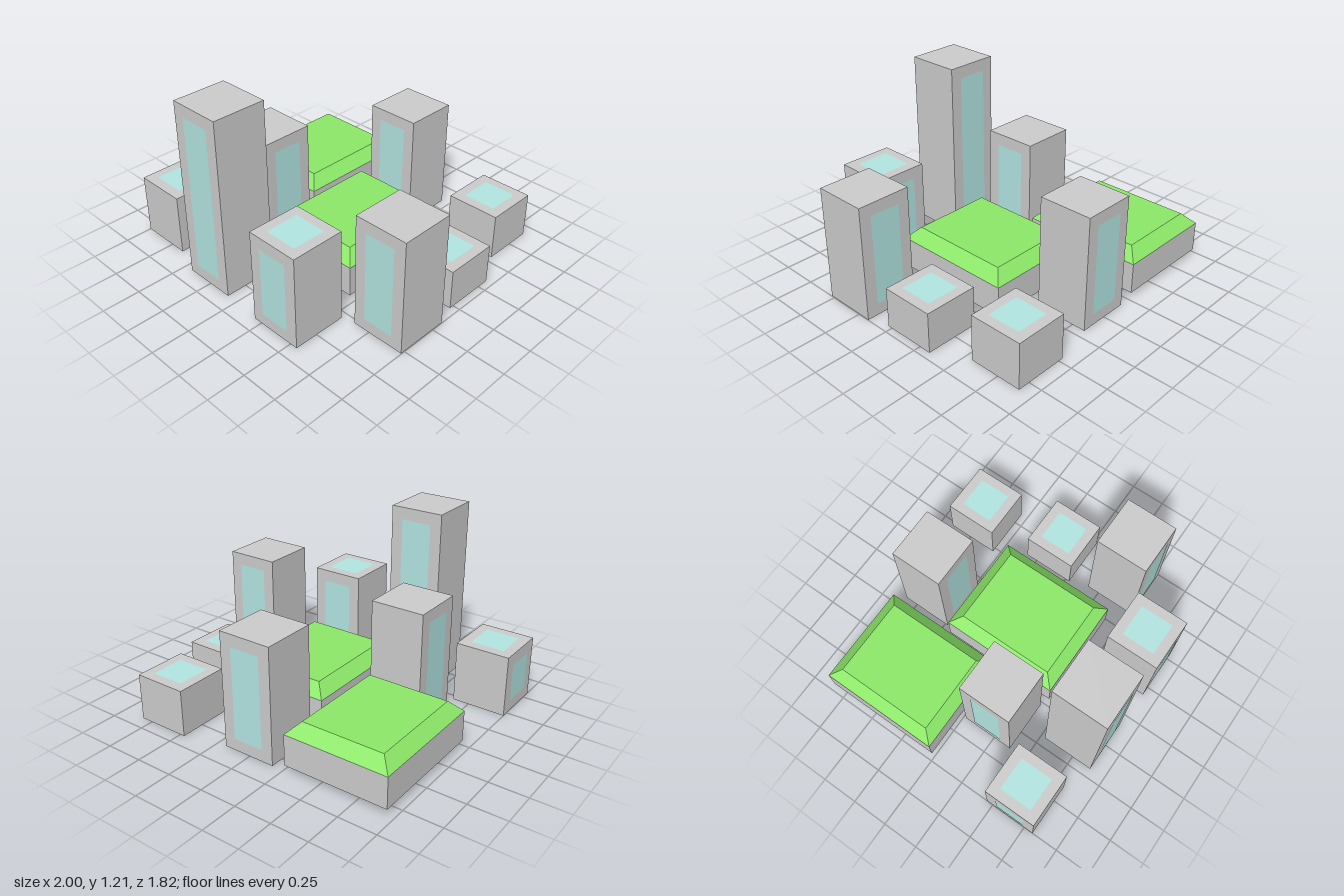
import * as THREE from 'three';

const W = 0.36; // footprint of every tower
const LIFT = 0.002; // glass sits just proud of the wall

// x, z, height, faces that carry glass
const TOWERS = [
  [-0.82, 0.635, 0.41, ['left', 'right', 'top']],
  [-0.26, 0.71, 1.205, ['front', 'back']],
  [0.37, 0.727, 0.625, ['front', 'back', 'top']],
  [0.817, 0.345, 0.765, ['front', 'back']],
  [-0.453, 0.197, 0.765, ['left', 'right']],
  [0.008, -0.66, 0.765, ['front', 'back']],
  [0.65, -0.73, 0.31, ['top']],
  [0.772, -0.15, 0.27, ['top']],
];

const YAW = { front: 0, left: Math.PI / 2, back: Math.PI, right: -Math.PI / 2 };

export function createModel() {
  const model = new THREE.Group();
  model.name = 'cityBlock';
  const grey = new THREE.MeshStandardMaterial({ color: 0xcccccc });
  const glass = new THREE.MeshStandardMaterial({ color: 0xb2e5e1 });
  const green = new THREE.MeshStandardMaterial({ color: 0x8ce868 });

  const add = (parent, name, geometry, material, x, y, z) => {
    const mesh = new THREE.Mesh(geometry, material);
    mesh.name = name;
    mesh.position.set(x, y, z);
    parent.add(mesh);
    return mesh;
  };

  // Towers with glass panels on chosen faces
  for (const [x, z, h, faces] of TOWERS) {
    const tower = new THREE.Group();
    tower.name = 'tower';
    tower.position.set(x, 0, z);
    model.add(tower);
    add(tower, 'walls', new THREE.BoxGeometry(W, h, W), grey, 0, h / 2, 0);
    const d = W / 2 + LIFT;
    for (const face of faces) {
      if (face === 'top') {
        const roof = new THREE.PlaneGeometry(0.225, 0.225).rotateX(-Math.PI / 2);
        add(tower, 'roofGlass', roof, glass, 0, h + LIFT, 0);
      } else {
        const a = YAW[face];
        const pane = new THREE.PlaneGeometry(0.205, h - 0.16);
        add(tower, face + 'Glass', pane, glass, Math.sin(a) * d, h / 2, Math.cos(a) * d).rotation.y = a;
      }
    }
  }

  // Lawns: grey slab under a green cap with sloping edges
  const w = 0.695, l = 0.826, capH = 0.075, inset = 0.075;
  for (const [x, z] of [[-0.613, -0.432], [0.134, -0.008]]) {
    const lawn = new THREE.Group();
    lawn.name = 'lawn';
    lawn.position.set(x, 0, z);
    model.add(lawn);
    add(lawn, 'slab', new THREE.BoxGeometry(w, 0.205, l), grey, 0, 0.1475, 0);
    const cap = new THREE.BoxGeometry(w, capH, l);
    const p = cap.attributes.position;
    for (let i = 0; i < p.count; i++) {
      if (p.getY(i) < 0) continue;
      p.setX(i, p.getX(i) - Math.sign(p.getX(i)) * inset);
      p.setZ(i, p.getZ(i) - Math.sign(p.getZ(i)) * inset);
    }
    cap.computeVertexNormals();
    add(lawn, 'grass', cap, green, 0, 0.25 + capH / 2, 0);
  }
  return model;
}
